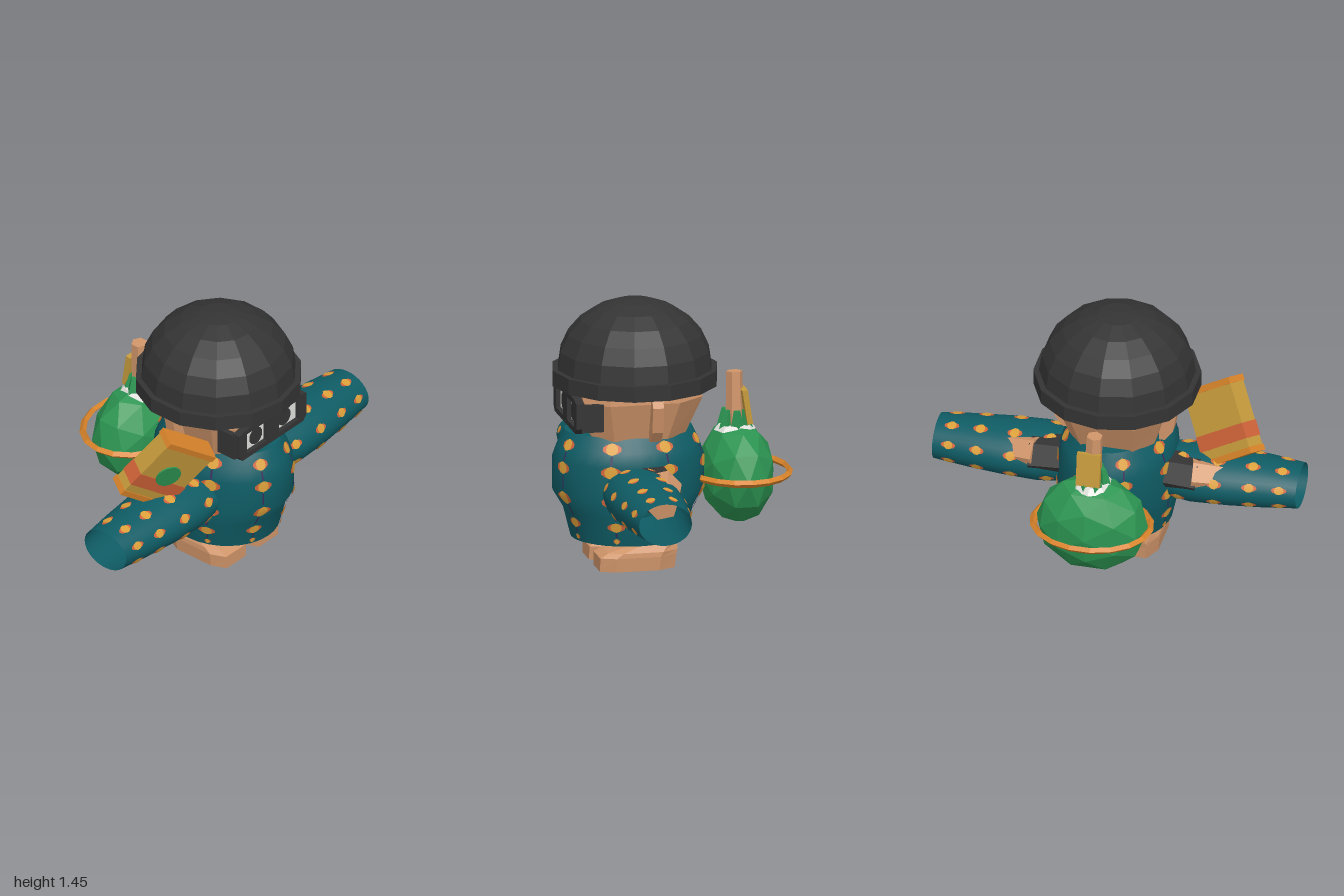
import * as THREE from 'three';
import { mergeGeometries } from 'three/addons/utils/BufferGeometryUtils.js';

const mat = (name, color, side = THREE.FrontSide) => {
  const m = new THREE.MeshStandardMaterial({ color, side });
  m.name = name;
  return m;
};

const V = (x, y, z) => new THREE.Vector3(x, y, z);

function flat(geo) {
  const g = geo.index ? geo.toNonIndexed() : geo;
  g.computeVertexNormals();
  return g;
}

// Surface around an axis: fn(i, j) gives the point of column i in row j
function loft(cols, rows, fn) {
  const pos = [], idx = [];
  for (let j = 0; j < rows; j++) for (let i = 0; i < cols; i++) pos.push(...fn(i, j));
  for (let j = 0; j < rows - 1; j++) for (let i = 0; i < cols; i++) {
    const k = (i + 1) % cols, a = j * cols + i, b = j * cols + k;
    idx.push(a, b, b + cols, a, b + cols, a + cols);
  }
  const g = new THREE.BufferGeometry();
  g.setAttribute('position', new THREE.Float32BufferAttribute(pos, 3));
  g.setIndex(idx);
  g.computeVertexNormals();
  return g;
}

// Faceted block from octagonal sections [y, halfWidth, zBack, zFront], capped at both ends
const OCT = [[0.7, 1], [1, 0.6], [1, -0.55], [0.6, -1], [-0.6, -1], [-1, -0.55], [-1, 0.6], [-0.7, 1]];
function octBlock(sections) {
  const first = sections[0], last = sections[sections.length - 1];
  const mid = s => [s[0], 0, (s[2] + s[3]) / 2, (s[2] + s[3]) / 2];
  const rows = [mid(first), ...sections, mid(last)];
  return flat(loft(8, rows.length, (i, j) => {
    const [y, w, z0, z1] = rows[j];
    return [OCT[i][0] * w, y, (z0 + z1) / 2 + OCT[i][1] * (z1 - z0) / 2];
  }));
}

// Linear lookup in a profile of [t, radiusA, radiusB]
function sample(profile, t) {
  let k = 0;
  while (k < profile.length - 2 && t > profile[k + 1][0]) k++;
  const p = profile[k], q = profile[k + 1], f = (t - p[0]) / (q[0] - p[0]);
  return [p[1] + (q[1] - p[1]) * f, p[2] + (q[2] - p[2]) * f];
}

const TORSO = [[0.15, 0.29, 0.31], [0.31, 0.325, 0.35], [0.41, 0.325, 0.41], [0.59, 0.315, 0.41], [0.66, 0.29, 0.385], [0.74, 0.235, 0.345]];
const SLEEVE = [[0.2, 0.125, 0.17], [0.42, 0.147, 0.2], [0.62, 0.14, 0.193], [0.82, 0.13, 0.17], [1, 0.114, 0.145]];
const torsoAt = (a, y, o = 0) => {
  const [rx, rz] = sample(TORSO, y);
  return [Math.sin(a) * (rx + o), y, 0.24 + Math.cos(a) * (rz + o)];
};
const sleeveAt = s => (a, x, o = 0) => {
  const [ry, rz] = sample(SLEEVE, x);
  return [s * x, 0.45 - s * Math.sin(a) * (ry + o), 0.26 + Math.cos(a) * (rz + o)];
};

// Thin oval patch following a surface
function decal(surf, a, t, da, dt, off, n = 10) {
  const pos = [...surf(a, t, off)], idx = [];
  for (let i = 0; i < n; i++) {
    const th = (i + 0.5) / n * Math.PI * 2;
    pos.push(...surf(a + da * Math.cos(th), t + dt * Math.sin(th), off));
    idx.push(0, i + 1, (i + 1) % n + 1);
  }
  const g = new THREE.BufferGeometry();
  g.setAttribute('position', new THREE.Float32BufferAttribute(pos, 3));
  g.setIndex(idx);
  g.computeVertexNormals();
  return g;
}

// Faceted rod between two points
function rod(a, b, r1, r2, n = 6) {
  const g = new THREE.CylinderGeometry(r2, r1, a.distanceTo(b), n);
  const dir = b.clone().sub(a).normalize();
  g.applyQuaternion(new THREE.Quaternion().setFromUnitVectors(V(0, 1, 0), dir));
  g.translate((a.x + b.x) / 2, (a.y + b.y) / 2, (a.z + b.z) / 2);
  return flat(g);
}

export function createModel() {
  const root = new THREE.Group();
  const teal = mat('teal cloth', 0x0f5c65, THREE.DoubleSide), coral = mat('coral', 0xcf6238);
  const amber = mat('amber', 0xdca03a), purple = mat('purple', 0x3a2a5a);
  const skin = mat('skin', 0xd0956a), black = mat('black', 0x343434);
  const green = mat('green', 0x2c9552), white = mat('white', 0xe2e2de);
  const orange = mat('orange', 0xd9842a), mustard = mat('mustard', 0xc59a3c);
  const add = (name, geo, m, parent = root) => {
    const mesh = new THREE.Mesh(geo, m);
    mesh.name = name;
    parent.add(mesh);
    return mesh;
  };
  const box = (w, h, d, x, y, z) => new THREE.BoxGeometry(w, h, d).translate(x, y, z);

  // Shirt and sleeves, open at the hem and cuffs
  const N = 32, ang = i => i / N * Math.PI * 2;
  add('shirt', loft(N, TORSO.length, (i, j) => torsoAt(ang(i), TORSO[j][0])), teal);
  add('shirtTop', loft(N, 2, (i, j) => j ? [0, 0.74, 0.24] : torsoAt(ang(i), 0.74)), teal);
  for (const s of [1, -1]) {
    add('sleeve', loft(N, SLEEVE.length, (i, j) => sleeveAt(s)(ang(i), SLEEVE[j][0])), teal);
  }

  // Lantern print on the cloth
  const reds = [], yellows = [], cords = [];
  for (let k = 0; k < 8; k++) {
    const a = (k + 0.5) * Math.PI / 4;
    for (const [y, h] of [[0.685, 0.026], [0.565, 0.03], [0.4, 0.032], [0.26, 0.024], [0.18, 0.014]]) {
      const w = h < 0.02 ? 0.06 : 0.145;
      reds.push(decal(torsoAt, a, y, w, h, 0.006));
      yellows.push(decal(torsoAt, a, y, w * 0.62, h * 1.15, 0.008));
    }
    for (const [y, h] of [[0.625, 0.034], [0.485, 0.05], [0.33, 0.045], [0.215, 0.02]]) {
      cords.push(decal(torsoAt, a, y, 0.02, h, 0.005, 4));
    }
    for (const s of [1, -1]) for (const x of [0.36, 0.56, 0.75, 0.91]) {
      reds.push(decal(sleeveAt(s), a, x, 0.14, 0.042, 0.005));
      yellows.push(decal(sleeveAt(s), a, x, 0.17, 0.026, 0.007));
    }
  }
  add('lanternEdges', mergeGeometries(reds), coral);
  add('lanternCores', mergeGeometries(yellows), amber);
  add('lanternCords', mergeGeometries(cords), purple);

  // Shorts, feet, arms and ears
  add('shorts', octBlock([[0.14, 0.21, 0.02, 0.44], [0.4, 0.23, 0, 0.47]]), black);
  const earShape = s => new THREE.Shape([[0.25, 0.97], [0.325, 0.96], [0.35, 0.92], [0.325, 0.78], [0.28, 0.72], [0.25, 0.72]]
    .map(([x, y]) => new THREE.Vector2(s * x, y)));
  for (const s of [1, -1]) {
    add('foot', octBlock([[0, 0.112, 0.03, 0.44], [0.075, 0.118, 0.02, 0.44], [0.1, 0.115, 0.015, 0.395], [0.142, 0.09, 0.012, 0.25]])
      .translate(s * 0.133, 0, 0), skin);
    add('cuff', rod(V(s * 0.24, 0.49, 0.17), V(s * 0.46, 0.48, 0.17), 0.115, 0.12), black);
    add('hand', rod(V(s * 0.42, 0.5, 0.145), V(s * 0.66, 0.47, 0.2), 0.105, 0.088), skin);
    add('ear', new THREE.ExtrudeGeometry(earShape(s), { depth: 0.06, bevelEnabled: false }).translate(0, 0, 0.12), skin);
  }

  // Head
  add('head', octBlock([[0.72, 0.235, -0.04, 0.47], [0.93, 0.295, -0.13, 0.535], [1.03, 0.285, -0.1, 0.53]]), skin);

  // Goggles with eyes
  const rect = (T, x0, x1, y0, y1) => new T([[x0, y0], [x1, y0], [x1, y1], [x0, y1]].map(p => new THREE.Vector2(...p)));
  const frame = new THREE.Shape([[-0.25, 0.78], [0.25, 0.78], [0.275, 0.81], [0.275, 0.95], [0.2, 0.965], [-0.2, 0.965], [-0.275, 0.95], [-0.275, 0.81]]
    .map(p => new THREE.Vector2(...p)));
  frame.holes.push(rect(THREE.Path, 0.05, 0.215, 0.81, 0.935), rect(THREE.Path, -0.215, -0.05, 0.81, 0.935));
  add('goggleFrame', new THREE.ExtrudeGeometry(frame, { depth: 0.045, bevelEnabled: false }).translate(0, 0, 0.54), black);
  for (const s of [1, -1]) {
    add('goggleSide', box(0.03, 0.15, 0.12, s * 0.265, 0.865, 0.495), black);
    add('eyeWhite', box(0.18, 0.14, 0.008, s * 0.132, 0.872, 0.556), white);
    add('pupil', new THREE.CylinderGeometry(0.05, 0.05, 0.006, 16).rotateX(Math.PI / 2).translate(s * 0.117, 0.868, 0.564), black);
  }

  // Helmet with brim
  const dome = [[0, 0.985], [0.45, 0.985], [0.45, 1.07], [0.42, 1.07]].map(p => new THREE.Vector2(...p));
  for (let i = 1; i <= 6; i++) {
    const t = i / 6 * Math.PI / 2;
    dome.push(new THREE.Vector2(Math.max(0, 0.42 * Math.cos(t)), 1.07 + 0.375 * Math.sin(t)));
  }
  add('helmet', flat(new THREE.LatheGeometry(dome, 14)).translate(0, 0, 0.203), black);

  // Round green pack with ring, leaf crown, stem and tag
  add('pack', flat(new THREE.IcosahedronGeometry(1, 1).scale(0.31, 0.28, 0.202)).translate(0, 0.46, -0.355), green);
  add('packRing', flat(new THREE.TorusGeometry(0.318, 0.02, 4, 18).rotateX(Math.PI / 2).scale(1, 1, 0.845)).translate(0, 0.465, -0.37), orange);
  add('packCollar', flat(new THREE.CylinderGeometry(0.09, 0.115, 0.03, 8)).translate(0, 0.708, -0.345), white);
  for (let k = 0; k < 6; k++) {
    const a = k / 6 * Math.PI * 2, c = Math.cos(a), s = Math.sin(a);
    add('crownLeaf', rod(V(0.065 * c, 0.69, -0.345 + 0.065 * s), V(0.055 * c, 0.805, -0.345 + 0.055 * s), 0.04, 0.018, 4), green);
  }
  add('stem', rod(V(0.005, 0.7, -0.345), V(-0.01, 1.01, -0.345), 0.052, 0.044), skin);
  add('tag', new THREE.BoxGeometry(0.13, 0.19, 0.03).rotateX(0.15).translate(0.01, 0.825, -0.4), mustard);

  // Tilted snack carton resting on the right sleeve
  const carton = new THREE.Group();
  carton.name = 'carton';
  const up = V(0.17, 0.32, 0.2).normalize(), right = V(0.3, -0.18, 0.1);
  right.addScaledVector(up, -right.dot(up)).normalize();
  carton.quaternion.setFromRotationMatrix(new THREE.Matrix4().makeBasis(right, up, right.clone().cross(up)));
  carton.position.set(-0.56, 0.77, 0.3);
  root.add(carton);
  add('cartonBody', box(0.34, 0.4, 0.11, 0, 0, 0), mustard, carton);
  add('cartonBand', box(0.346, 0.085, 0.116, 0, -0.085, 0), coral, carton);
  for (const s of [1, -1]) add('cartonEnd', box(0.35, 0.035, 0.12, 0, s * 0.195, 0), orange, carton);
  add('cartonSpot', new THREE.CylinderGeometry(0.072, 0.072, 0.008, 16).rotateX(Math.PI / 2).translate(0, 0, 0.06), green, carton);

  return root;
}
